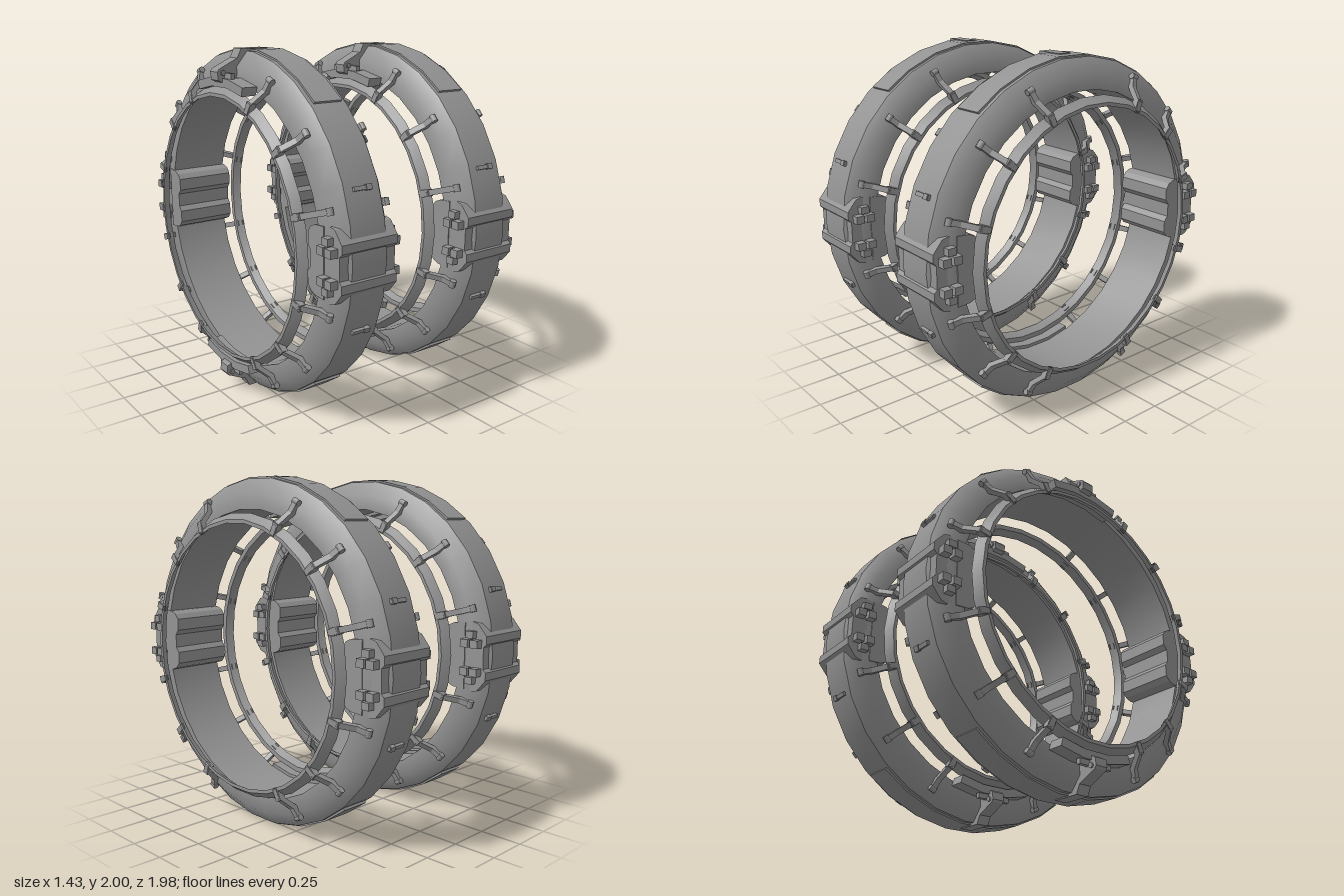
import * as THREE from 'three';
import { toCreasedNormals } from 'three/addons/utils/BufferGeometryUtils.js';

const SIDES = 30;
const rad = THREE.MathUtils.degToRad;
const material = new THREE.MeshStandardMaterial({ color: 0x939393 });

function part(name, geometry, parent) {
  const mesh = new THREE.Mesh(geometry, material);
  mesh.name = name;
  parent.add(mesh);
  return mesh;
}

// closed [radius, x] section revolved about the x axis
function hoop(section) {
  const pts = [...section, section[0]].map(([r, x]) => new THREE.Vector2(r, x));
  return toCreasedNormals(new THREE.LatheGeometry(pts, SIDES).rotateZ(-Math.PI / 2), 0.77);
}

// outline in (x, y), extruded symmetrically along z
function slab(points, width) {
  const shape = new THREE.Shape(points.map(([x, y]) => new THREE.Vector2(x, y)));
  return new THREE.ExtrudeGeometry(shape, { depth: width, bevelEnabled: false })
    .translate(0, 0, -width / 2);
}

// outline in (-z, y), extruded along x
const crossSlab = (points, width) => slab(points, width).rotateY(Math.PI / 2);

// curved plate centred on the top of the ring
function arcPlate(angles, inner, outer, width) {
  const at = (r) => (a) => [r * Math.sin(rad(a)), r * Math.cos(rad(a))];
  const outline = [...angles.map(at(outer)), ...[...angles].reverse().map(at(inner))];
  return toCreasedNormals(crossSlab(outline, width), 0.45);
}

function box(w, h, d, x, y, z) {
  return new THREE.BoxGeometry(w, h, d).translate(x, y, z);
}

// group turned about the ring axis; its +y points radially outward
function radial(name, degrees, parent) {
  const g = new THREE.Group();
  g.name = name;
  g.rotation.x = rad(degrees);
  parent.add(g);
  return g;
}

// bent strap holding a side hoop to the rim, facing +x
function addClip(parent, side) {
  const clip = new THREE.Group();
  clip.name = 'clip';
  clip.rotation.y = side > 0 ? 0 : Math.PI;
  parent.add(clip);
  part('clipStrap', slab([
    [0.27, 0.74], [0.286, 0.75], [0.28, 0.805], [0.235, 0.85], [0.205, 0.88],
    [0.185, 0.945], [0.16, 0.945], [0.175, 0.87], [0.215, 0.83], [0.258, 0.79],
  ], 0.032), clip);
  part('clipFoot', box(0.035, 0.06, 0.04, 0.262, 0.785, 0), clip);
  const pin = new THREE.CylinderGeometry(0.018, 0.018, 0.04, 8).rotateX(Math.PI / 2);
  part('clipPin', pin.translate(0.175, 0.935, 0), clip);
}

// clamp housing through the rim, modelled at the front (+z)
function addClamp(parent, turn) {
  const clamp = new THREE.Group();
  clamp.name = 'clamp';
  clamp.rotation.y = turn;
  parent.add(clamp);
  const mirrored = (half) => [...half.map(([z, y]) => [-z, y]),
    ...[...half].reverse().map(([z, y]) => [-z, -y])];
  part('outerHousing', crossSlab(mirrored([
    [0.79, 0.12], [0.83, 0.18], [0.9, 0.2], [0.935, 0.19], [0.965, 0.155],
    [0.99, 0.125], [0.99, 0.08], [0.972, 0.062],
  ]), 0.35), clamp);
  part('innerHousing', crossSlab(mirrored([
    [0.85, 0.19], [0.775, 0.185], [0.74, 0.17], [0.716, 0.14], [0.716, 0.07], [0.74, 0.04],
  ]), 0.36), clamp);
  for (const side of [-1, 1]) {
    for (const v of [-1, 1]) {
      for (const z of [0.87, 0.935]) {
        part('clampLug', box(0.05, 0.045, 0.05, side * 0.195, v * 0.08, z), clamp);
      }
      part('clampBolt', box(0.045, 0.04, 0.05, side * 0.19, v * 0.13, 0.9), clamp);
    }
  }
}

// hooked latch reaching from the panel over the -x edge
function addLatch(parent) {
  part('latchArm', slab([
    [0.02, 0.97], [0.02, 1.0], [-0.145, 1.0], [-0.17, 0.95], [-0.285, 0.895], [-0.295, 0.88],
    [-0.29, 0.835], [-0.25, 0.815], [-0.18, 0.85], [-0.12, 0.95],
  ], 0.08), parent);
  const knob = new THREE.CylinderGeometry(0.015, 0.015, 0.1, 8).rotateX(Math.PI / 2);
  part('latchPin', knob.translate(-0.262, 0.875, 0), parent);
  part('latchCrossbar', box(0.025, 0.03, 0.22, -0.24, 0.86, 0), parent);
  const plate = arcPlate([-17, -6, 6, 17], 0.8, 0.85, 0.09);
  part('latchPlate', plate.translate(-0.22, 0, 0), parent);
}

function createRing() {
  const ring = new THREE.Group();
  ring.name = 'ring';

  // chamfered rim
  part('rim', hoop([
    [0.82, -0.175], [0.91, -0.175], [0.99, -0.108],
    [0.99, 0.108], [0.91, 0.175], [0.82, 0.175],
  ]), ring);

  // slanted hoops standing off each side
  part('leftHoop', hoop([[0.77, 0.235], [0.8, 0.235], [0.765, 0.28], [0.745, 0.28]]), ring);
  part('rightHoop', hoop([[0.745, -0.28], [0.765, -0.28], [0.8, -0.235], [0.77, -0.235]]), ring);

  for (const a of [24, 48, 73, 107, 132, 156]) {
    for (const s of [-1, 1]) {
      const mount = radial('clipMount', a * s, ring);
      addClip(mount, 1);
      addClip(mount, -1);
    }
  }

  // shallow panels and latches at the top and bottom
  for (const a of [0, 180]) {
    const mount = radial(a ? 'bottomFittings' : 'topFittings', a, ring);
    part('panel', arcPlate([-40, -30, -18, -6, 6, 18, 30, 40], 0.96, 1.0, 0.17), mount);
    addLatch(mount);
  }

  // small catches above and below each clamp
  for (const a of [68, 112, -68, -112]) {
    const mount = radial('catch', a, ring);
    part('catchBar', box(0.11, 0.025, 0.022, 0, 0.99, 0), mount);
    part('catchHead', box(0.035, 0.035, 0.03, 0.035, 0.99, 0), mount);
  }

  addClamp(ring, 0);
  addClamp(ring, Math.PI);
  return ring;
}

export function createModel() {
  const model = new THREE.Group();
  model.name = 'ringPair';
  for (const x of [-0.425, 0.425]) {
    const ring = createRing();
    ring.position.set(x, 1, 0);
    model.add(ring);
  }
  return model;
}
